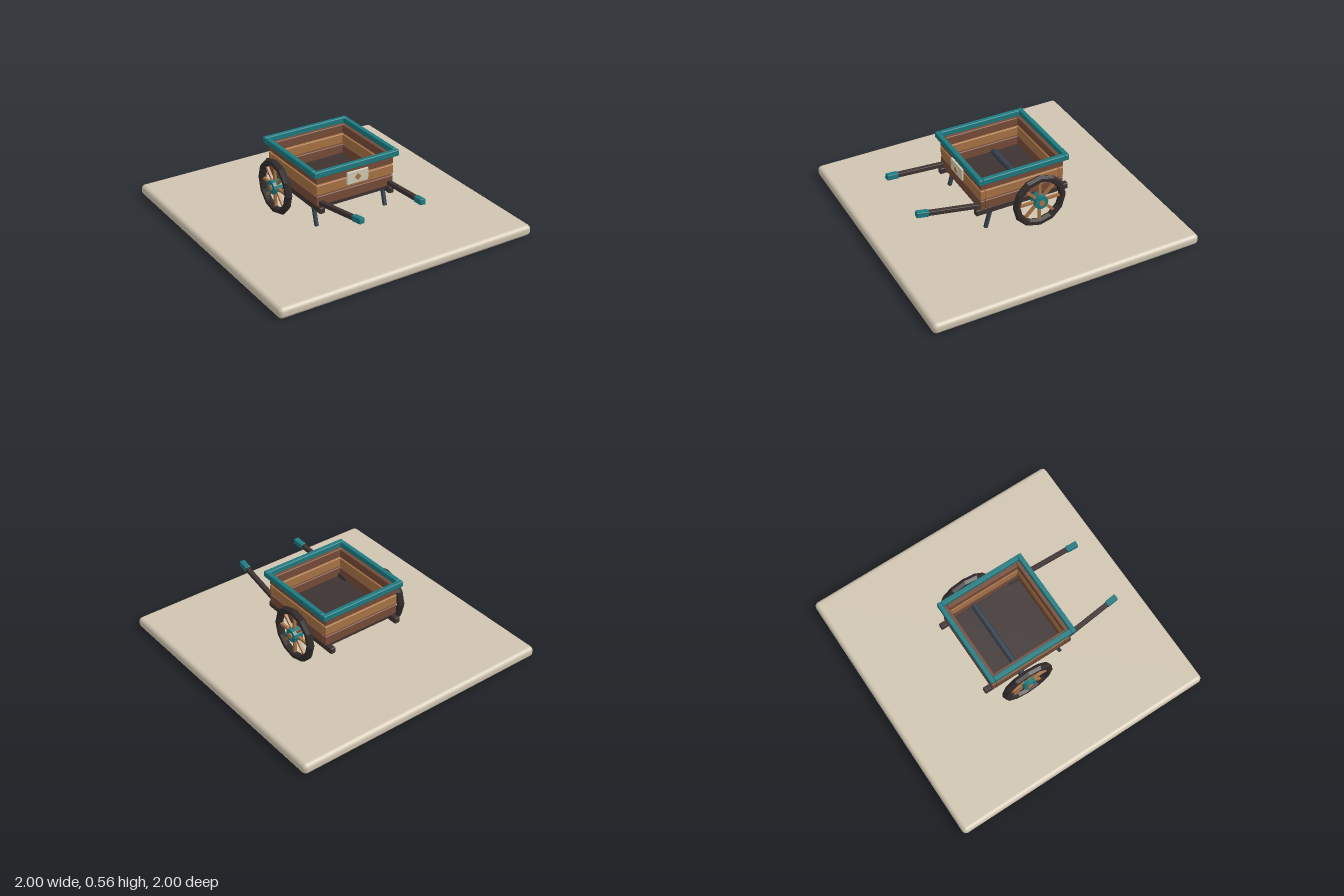
import * as THREE from 'three';
import { RoundedBoxGeometry } from 'three/addons/geometries/RoundedBoxGeometry.js';

const mat = (name, color) => {
  const m = new THREE.MeshStandardMaterial({ color });
  m.name = name;
  return m;
};

export function createModel() {
  const model = new THREE.Group();
  model.name = 'handcart';

  const stone = mat('pale stone', 0xcfc4b0);
  const wood = mat('brown wood', 0x764b38);
  const lightWood = mat('light wood', 0xa87344);
  const darkWood = mat('dark wood', 0x3d3331);
  const teal = mat('teal paint', 0x1c7a80);
  const slate = mat('slate metal', 0x36414c);
  const tyre = mat('dark rim', 0x332d2c);
  const cream = mat('cream plate', 0xd3cab5);

  const add = (parent, name, geometry, material, x = 0, y = 0, z = 0) => {
    const mesh = new THREE.Mesh(geometry, material);
    mesh.name = name;
    mesh.position.set(x, y, z);
    parent.add(mesh);
    return mesh;
  };
  // Box with softly bevelled edges
  const box = (parent, name, [w, h, d], material, x, y, z, r = 0.006) =>
    add(parent, name, new RoundedBoxGeometry(w, h, d, 1, r), material, x, y, z);
  // Square bar running from one point to another
  const bar = (parent, name, a, b, size, material) => {
    const from = new THREE.Vector3(...a), to = new THREE.Vector3(...b);
    const mid = from.clone().add(to).multiplyScalar(0.5);
    const mesh = box(parent, name, [size, size, from.distanceTo(to)], material, mid.x, mid.y, mid.z, 0.004);
    mesh.lookAt(to);
    return mesh;
  };
  // Cylinder lying along x
  const drum = (parent, name, r, length, sides, material, x, y, z) => {
    const g = new THREE.CylinderGeometry(r, r, length, sides).toNonIndexed();
    g.rotateZ(Math.PI / 2);
    g.computeVertexNormals();
    return add(parent, name, g, material, x, y, z);
  };

  // Ground slab
  add(model, 'base', new RoundedBoxGeometry(2, 0.08, 2, 3, 0.032), stone, 0, 0.04, 0);

  // Floor and side planks
  box(model, 'floor', [0.6, 0.03, 0.6], darkWood, 0, 0.27, 0);
  [[0.325, 0.072, wood], [0.406, 0.072, lightWood], [0.484, 0.066, wood]].forEach(([y, h, m]) => {
    for (const s of [-1, 1]) {
      box(model, 'endPlank', [0.62, h, 0.034], m, 0, y, s * 0.3);
      box(model, 'sidePlank', [0.03, h, 0.566], m, s * 0.295, y, 0);
    }
  });

  // Painted top rail
  for (const s of [-1, 1]) {
    box(model, 'endRail', [0.68, 0.044, 0.034], teal, 0, 0.533, s * 0.326);
    box(model, 'sideRail', [0.034, 0.044, 0.62], teal, s * 0.323, 0.533, 0);
  }

  // Name plate with a diamond
  box(model, 'plate', [0.17, 0.09, 0.016], cream, 0, 0.446, 0.338, 0.003);
  const diamond = box(model, 'plateDiamond', [0.036, 0.036, 0.008], lightWood, 0, 0.446, 0.347, 0.001);
  diamond.rotation.z = Math.PI / 4;

  // Axle through the body
  const wy = 0.293, wz = -0.085;
  drum(model, 'axle', 0.024, 0.78, 10, slate, 0, wy, wz);

  for (const s of [-1, 1]) {
    // Chassis beam, prop leg and pull handle
    box(model, 'chassisBeam', [0.04, 0.045, 0.71], darkWood, s * 0.28, 0.263, -0.01);
    bar(model, 'propLeg', [s * 0.28, 0.25, 0.23], [s * 0.28, 0.112, 0.268], 0.025, slate);
    bar(model, 'handle', [s * 0.285, 0.297, 0.21], [s * 0.247, 0.358, 0.7], 0.032, darkWood);
    bar(model, 'handleGrip', [s * 0.248, 0.356, 0.675], [s * 0.241, 0.367, 0.76], 0.04, teal);

    // Spoked wheel
    const wheel = new THREE.Group();
    wheel.name = s > 0 ? 'leftWheel' : 'rightWheel';
    wheel.position.set(s * 0.395, wy, wz);
    model.add(wheel);
    const ring = new THREE.TorusGeometry(0.177, 0.027, 6, 12).toNonIndexed();
    ring.rotateY(Math.PI / 2);
    ring.computeVertexNormals();
    add(wheel, 'wheelRim', ring, tyre);
    for (let i = 0; i < 8; i++) {
      const a = (i * Math.PI) / 4;
      const spoke = add(wheel, 'spoke', new THREE.BoxGeometry(0.018, 0.14, 0.018), lightWood,
        0, Math.cos(a) * 0.1, Math.sin(a) * 0.1);
      spoke.rotation.x = a;
    }
    drum(wheel, 'hub', 0.05, 0.07, 12, teal, 0, 0, 0);
    drum(wheel, 'hubCap', 0.022, 0.02, 10, lightWood, s * 0.032, 0, 0);
  }

  return model;
}
